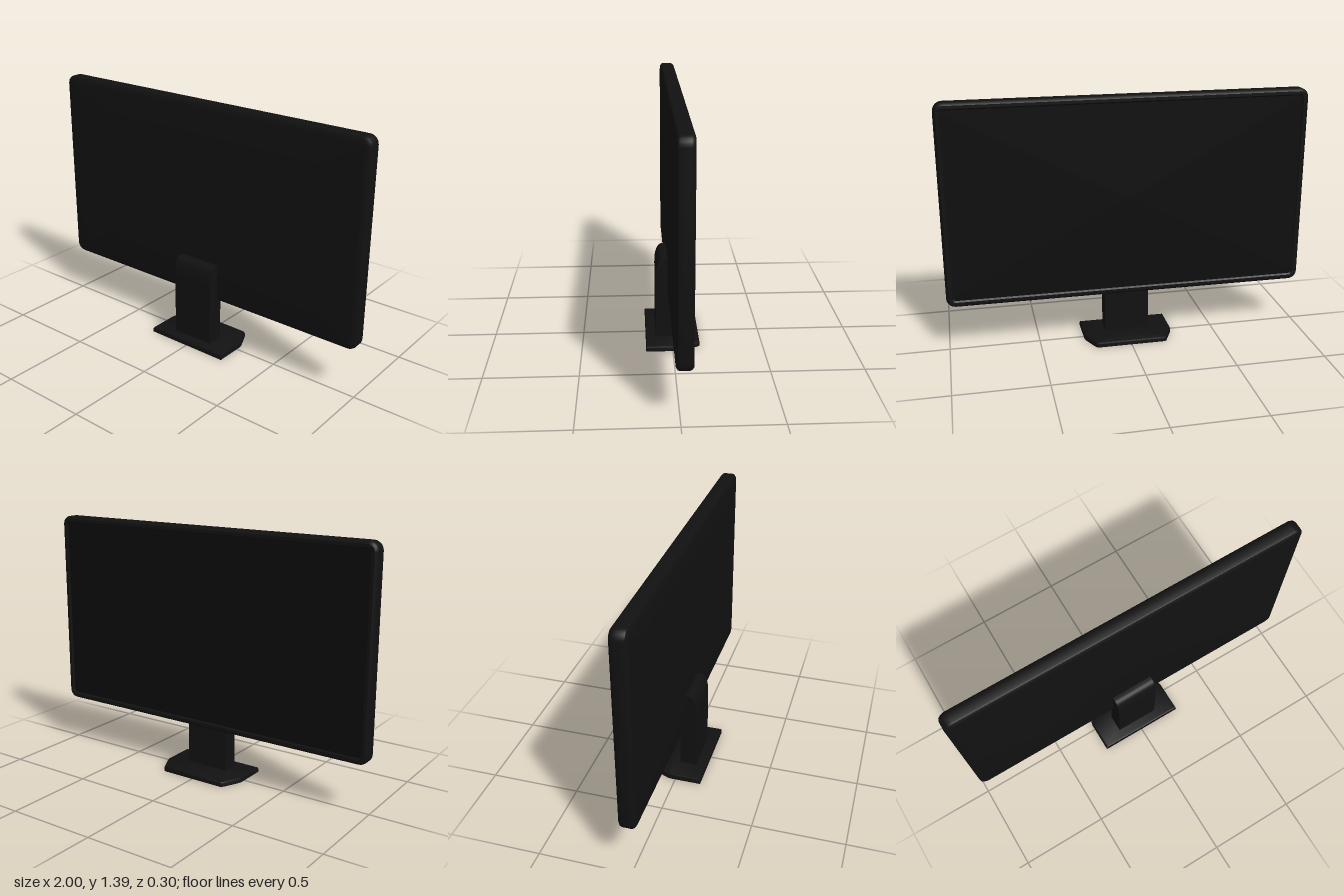
import * as THREE from 'three';
import { toCreasedNormals } from 'three/addons/utils/BufferGeometryUtils.js';

// Joins convex outlines (counter-clockwise, first one at the highest z), with optional fan caps.
function loft(rings, capStart = true, capEnd = true) {
  const pos = [];
  const tri = (...pts) => pts.forEach(p => pos.push(p.x, p.y, p.z));
  const centre = ring => ring.reduce((s, p) => s.add(p), new THREE.Vector3()).divideScalar(ring.length);
  const n = rings[0].length, first = rings[0], last = rings[rings.length - 1];
  for (let j = 0; j < n; j++) {
    const k = (j + 1) % n;
    for (let i = 0; i < rings.length - 1; i++) {
      const a = rings[i][j], b = rings[i][k], c = rings[i + 1][k], d = rings[i + 1][j];
      tri(a, d, c);
      tri(a, c, b);
    }
    if (capStart) tri(centre(first), first[j], first[k]);
    if (capEnd) tri(centre(last), last[k], last[j]);
  }
  const geo = new THREE.BufferGeometry();
  geo.setAttribute('position', new THREE.Float32BufferAttribute(pos, 3));
  return toCreasedNormals(geo, 0.6);
}

// Rounded rectangle of the display, moved inwards by inset.
function displayRing([inset, z]) {
  const radius = Math.max(0.05 - inset, 0.018), steps = 6, pts = [];
  const hx = 1 - inset - radius, hy = 0.558 - inset - radius;
  [[1, 1], [-1, 1], [-1, -1], [1, -1]].forEach(([sx, sy], q) => {
    for (let i = 0; i <= steps; i++) {
      const a = (q + i / steps) * Math.PI / 2;
      pts.push(new THREE.Vector3(sx * hx + radius * Math.cos(a), 0.833 + sy * hy + radius * Math.sin(a), z));
    }
  });
  return pts;
}

export function createModel() {
  const group = new THREE.Group();
  const dark = new THREE.MeshStandardMaterial({ color: 0x111111 });
  const glass = new THREE.MeshStandardMaterial({ color: 0x0c0c0c });
  const add = (name, geo, mat) => {
    const mesh = new THREE.Mesh(geo, mat);
    mesh.name = name;
    group.add(mesh);
  };

  // Display housing: softened edges, raised bezel around the screen on the -z side
  const profile = [[0.035, 0.025], [0.016, 0.023], [0.004, 0.015], [0, 0.005], [0, -0.042],
    [0.004, -0.053], [0.014, -0.061], [0.03, -0.061], [0.038, -0.054]];
  add('displayHousing', loft(profile.map(displayRing), true, false), dark);
  add('screen', loft([displayRing([0.038, -0.054])], false, true), glass);

  // Stand neck: side profile in z and y, swept across x
  const side = new THREE.Shape();
  side.moveTo(-0.005, 0.02);
  side.lineTo(0.09, 0.02);
  side.lineTo(0.09, 0.38);
  side.bezierCurveTo(0.09, 0.45, 0.075, 0.495, 0.04, 0.495);
  side.lineTo(-0.005, 0.495);
  side.closePath();
  const neck = new THREE.ExtrudeGeometry(side, { depth: 0.25, bevelEnabled: false, curveSegments: 10 });
  neck.translate(0, 0, -0.125).rotateY(-Math.PI / 2);
  add('standNeck', toCreasedNormals(neck, 0.6), dark);

  // Foot: plate tapering towards -z, with a softened top edge
  const half = [[0.25, -0.147], [0.25, 0.03], [0.245, 0.05], [0.207, 0.13], [0.2, 0.143], [0.188, 0.15]];
  const outline = [...half, ...half.map(([x, y]) => [-x, y]).reverse()];
  const footRing = ([inset, z]) => outline.map(([x, y]) =>
    new THREE.Vector3(x * (1 - inset / 0.25), y * (1 - inset / 0.15), z));
  add('standFoot', loft([[0.009, 0.03], [0.003, 0.027], [0, 0.02], [0, 0]].map(footRing)).rotateX(-Math.PI / 2), dark);

  return group;
}
